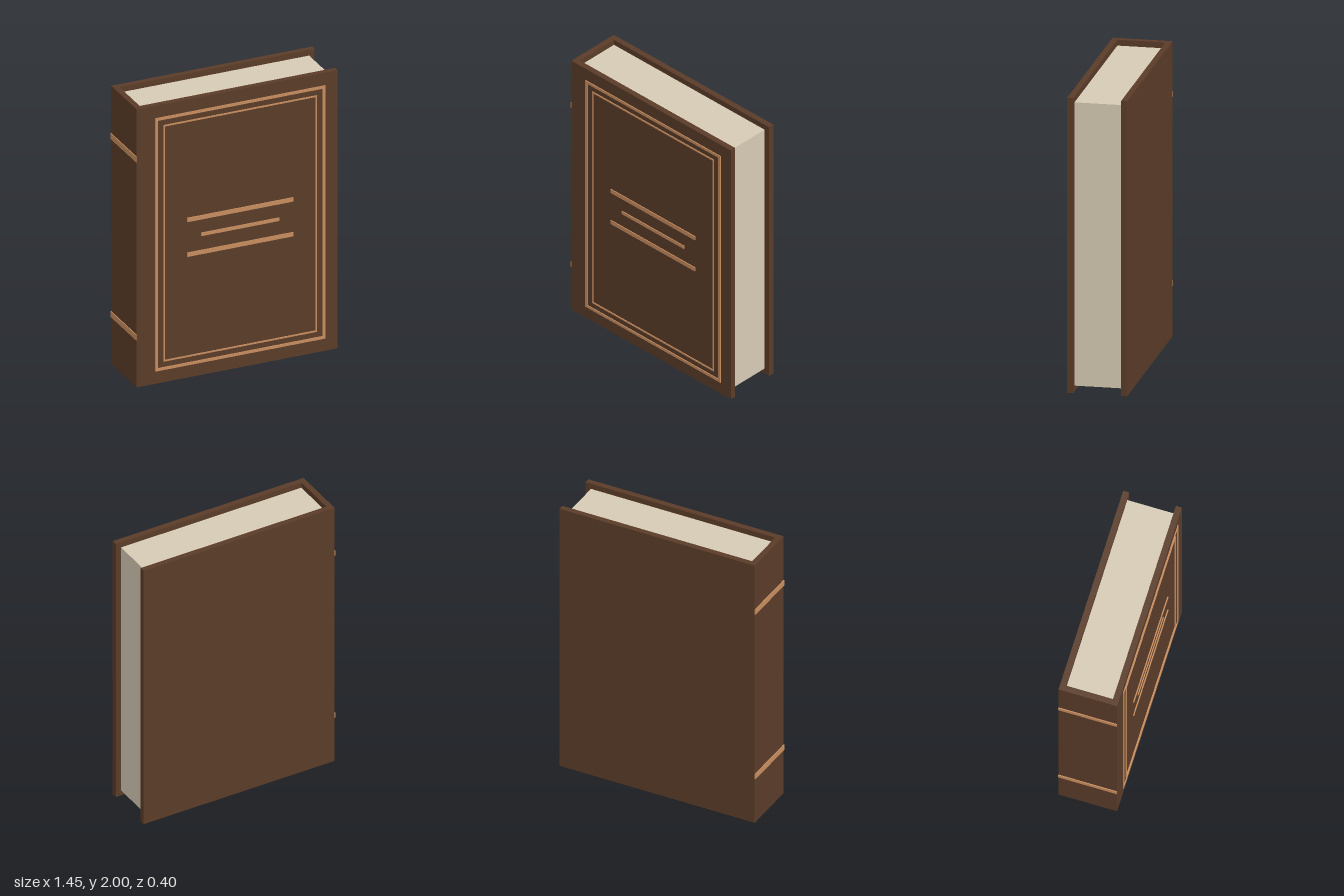
import * as THREE from 'three';

const material = (color) => new THREE.MeshStandardMaterial({ color });

export function createModel() {
  const book = new THREE.Group();
  book.name = 'book';
  const leather = material(0x5a3c28);
  const gilt = material(0xc88d5e);
  const paper = material(0xd6cab4);

  // Box given by its low and high limits on each axis
  const slab = (name, mat, [x0, x1], [y0, y1], [z0, z1]) => {
    const mesh = new THREE.Mesh(new THREE.BoxGeometry(x1 - x0, y1 - y0, z1 - z0), mat);
    mesh.position.set((x0 + x1) / 2, (y0 + y1) / 2, (z0 + z1) / 2);
    mesh.name = name;
    book.add(mesh);
  };

  const back = -0.202, front = 0.197, board = 0.04, proud = 0.006;

  // Binding and page block
  slab('frontCover', leather, [-0.72, 0.72], [0, 2], [front - board, front]);
  slab('backCover', leather, [-0.72, 0.72], [0, 2], [back, back + board]);
  slab('spine', leather, [-0.72, -0.68], [0, 2], [back + board, front - board]);
  slab('pages', paper, [-0.68, 0.68], [0.04, 1.96], [back + board, front - board]);

  // Raised bands across the spine
  for (const y of [0.36, 1.64]) {
    slab('spineBand', gilt, [-0.726, -0.72], [y - 0.02, y + 0.02], [back, front]);
  }

  // Rectangular borders on the front cover
  const border = (name, [x0, x1], [y0, y1], w) => {
    const rect = (path, d) => path
      .moveTo(x0 + d, y0 + d).lineTo(x1 - d, y0 + d)
      .lineTo(x1 - d, y1 - d).lineTo(x0 + d, y1 - d).closePath();
    const shape = rect(new THREE.Shape(), 0);
    shape.holes.push(rect(new THREE.Path(), w));
    const geometry = new THREE.ExtrudeGeometry(shape, { depth: proud, bevelEnabled: false });
    const mesh = new THREE.Mesh(geometry, gilt);
    mesh.position.z = front;
    mesh.name = name;
    book.add(mesh);
  };
  border('outerBorder', [-0.59, 0.63], [0.09, 1.91], 0.02);
  border('innerBorder', [-0.53, 0.57], [0.15, 1.85], 0.01);

  // Title bars: half length, centre height, thickness
  for (const [half, y, t] of [[0.38, 1.135, 0.03], [0.28, 1.012, 0.024], [0.38, 0.885, 0.03]]) {
    slab('titleBar', gilt, [0.02 - half, 0.02 + half], [y - t / 2, y + t / 2], [front, front + proud]);
  }

  return book;
}
